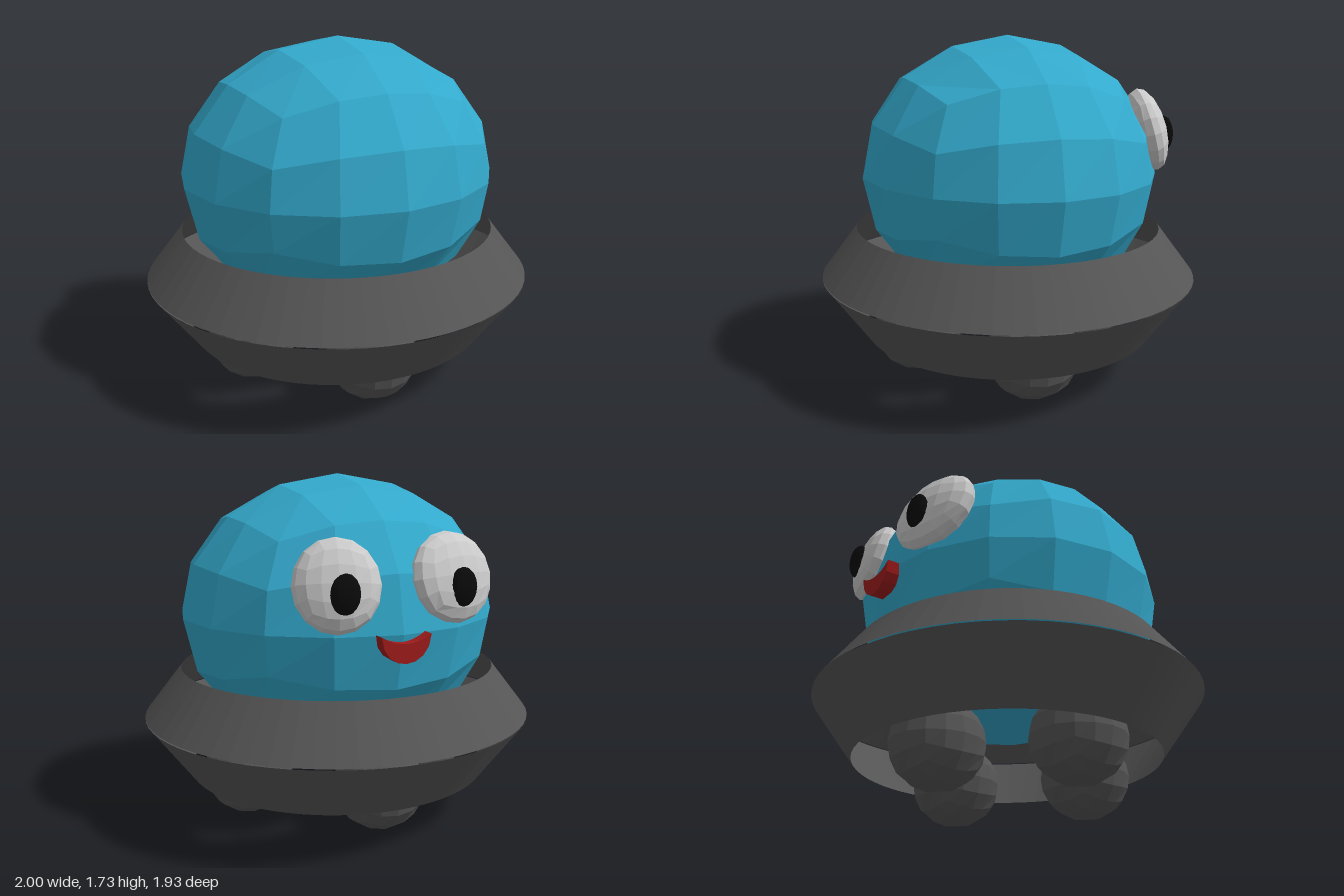
import * as THREE from 'three';

const paint = (color, side = THREE.FrontSide) =>
  new THREE.MeshStandardMaterial({ color, flatShading: true, side });

// Faceted ball: a subdivided cube pushed out to an ellipsoid
function quadBall(rx, ry, rz, seg = 4) {
  const geo = new THREE.BoxGeometry(2, 2, 2, seg, seg, seg);
  const pos = geo.attributes.position;
  const v = new THREE.Vector3();
  const even = (t) => Math.tan((t * Math.PI) / 4);
  for (let i = 0; i < pos.count; i++) {
    v.fromBufferAttribute(pos, i);
    v.set(even(v.x), even(v.y), even(v.z)).normalize();
    pos.setXYZ(i, v.x * rx, v.y * ry, v.z * rz);
  }
  geo.computeVertexNormals();
  return geo;
}

export function createModel() {
  const model = new THREE.Group();
  model.name = 'saucerCreature';

  const blue = paint(0x33a9cc);
  const shell = paint(0x555555, THREE.DoubleSide);
  const grey = paint(0x555555);
  const white = paint(0xcccccc);
  const black = paint(0x0a0a0a);
  const red = paint(0xa01c1c);

  const add = (name, geo, mat, x, y, z) => {
    const mesh = new THREE.Mesh(geo, mat);
    mesh.name = name;
    mesh.position.set(x, y, z);
    model.add(mesh);
    return mesh;
  };

  // Body
  add('body', quadBall(0.81, 0.69, 0.75), blue, 0, 1.04, 0);

  // Saucer: two open cone bands with a hairline seam
  const band = (name, rTop, rBottom, y0, y1) => {
    const geo = new THREE.CylinderGeometry(rTop, rBottom, y1 - y0, 64, 1, true);
    add(name, geo, shell, 0, (y0 + y1) / 2, 0).scale.z = 0.963;
  };
  band('upperSaucer', 0.81, 1, 0.521, 0.765);
  band('lowerSaucer', 1, 0.78, 0.22, 0.515);

  // Four round feet in a diamond
  const footGeo = quadBall(0.226, 0.22, 0.232);
  const feet = [[-0.5, 0.03], [0.49, 0.03], [-0.04, 0.48], [-0.04, -0.43]];
  for (const [x, z] of feet) add('foot', footGeo, grey, x, 0.222, z);

  // Eyes lie against the body, on the -z side, turned outward and up
  const eyes = [
    { name: 'left', x: 0.28, y: 1.26, rx: 0.2 },
    { name: 'right', x: -0.295, y: 1.27, rx: 0.235 },
  ];
  for (const { name, x, y, rx } of eyes) {
    const eye = add(name + 'Eye', quadBall(rx, 0.215, 0.095), white, x, y, -0.65);
    eye.rotation.set(0.27, -Math.sign(x) * 0.26, 0, 'YXZ');
    add(name + 'Pupil', quadBall(0.07, 0.092, 0.042), black, x, 1.235, -0.747);
  }

  // Smiling mouth: half disc with a sagging top edge
  const smile = new THREE.Shape();
  smile.moveTo(-0.122, 0.065);
  smile.quadraticCurveTo(0, -0.01, 0.122, 0.065);
  smile.bezierCurveTo(0.115, -0.105, -0.115, -0.105, -0.122, 0.065);
  const mouthGeo = new THREE.ExtrudeGeometry(smile, { depth: 0.1, bevelEnabled: false, curveSegments: 8 });
  add('mouth', mouthGeo, red, 0.005, 0.98, -0.788);

  return model;
}
